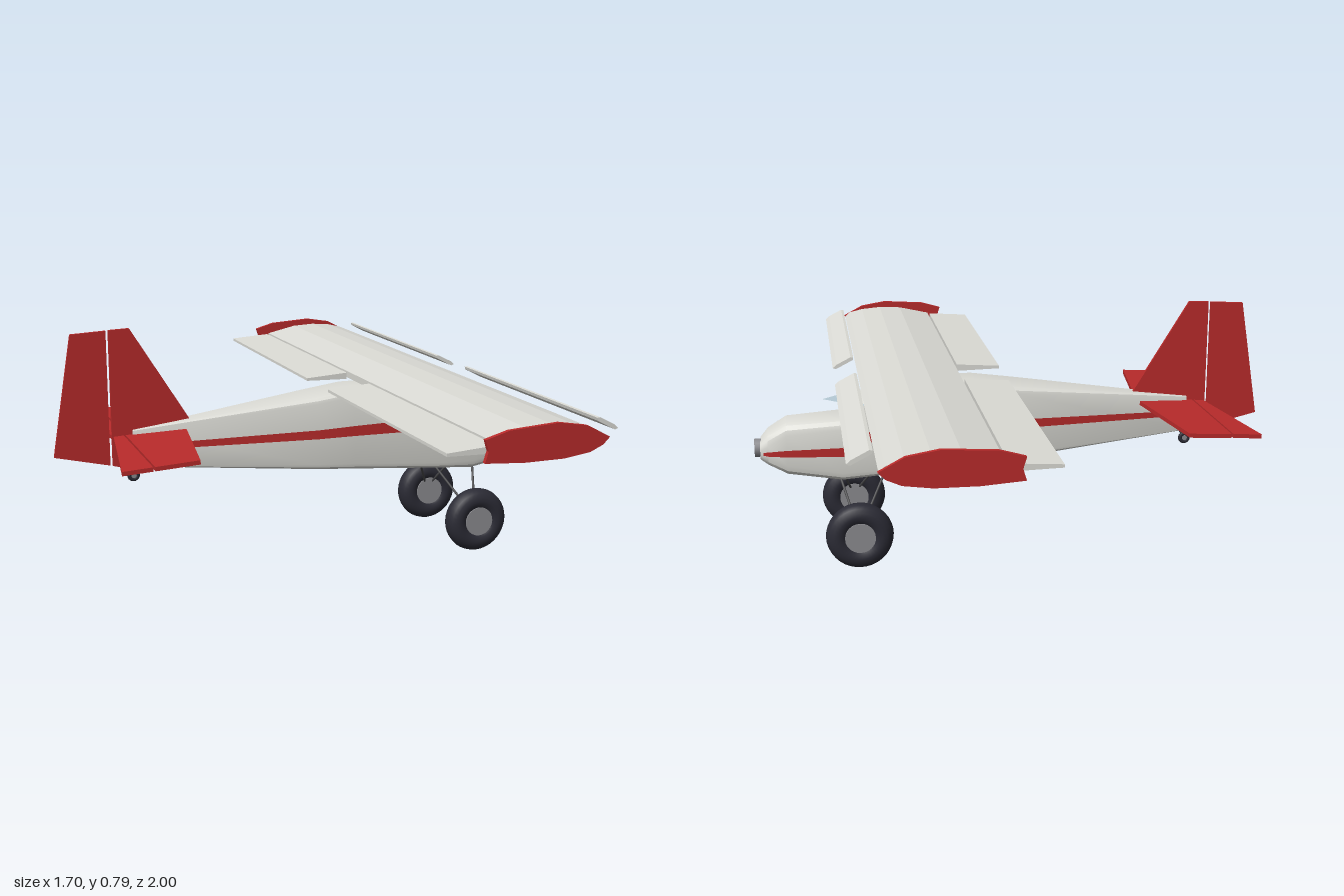
import * as THREE from 'three';
import { toCreasedNormals } from 'three/addons/utils/BufferGeometryUtils.js';

const mat = (name, color, side = THREE.FrontSide) => {
  const m = new THREE.MeshStandardMaterial({ color, side });
  m.name = name;
  return m;
};

// fuselage stations: x, bottom, top, half width, corner radius
const STATIONS = [
  [-0.6, 0.355, 0.475, 0.012, 0.004], [0, 0.306, 0.55, 0.088, 0.02],
  [0.13, 0.296, 0.568, 0.09, 0.022], [0.45, 0.27, 0.57, 0.09, 0.022],
  [0.57, 0.258, 0.464, 0.087, 0.03], [0.745, 0.284, 0.455, 0.079, 0.035],
  [0.805, 0.315, 0.42, 0.07, 0.035], [0.83, 0.335, 0.388, 0.058, 0.02],
];

function halfWidth(x) {
  for (let i = 1; i < STATIONS.length; i++) {
    const a = STATIONS[i - 1], b = STATIONS[i];
    if (x <= b[0]) return a[3] + (b[3] - a[3]) * (x - a[0]) / (b[0] - a[0]);
  }
  return STATIONS.at(-1)[3];
}

// loft of rounded rectangles with closed ends
function fuselageGeometry() {
  const pos = [], idx = [], steps = 4, n = 4 * steps;
  for (const [x, b, t, w, r] of STATIONS) {
    for (let c = 0; c < 4; c++) {
      const cz = (c === 0 || c === 3 ? 1 : -1) * (w - r);
      const cy = c < 2 ? t - r : b + r;
      for (let s = 0; s < steps; s++) {
        const a = (c + s / (steps - 1)) * Math.PI / 2;
        pos.push(x, cy + r * Math.sin(a), cz + r * Math.cos(a));
      }
    }
  }
  const last = (STATIONS.length - 1) * n;
  for (let i = 0; i < last; i += n) {
    for (let j = 0; j < n; j++) {
      const k = (j + 1) % n;
      idx.push(i + j, i + n + j, i + k, i + n + j, i + n + k, i + k);
    }
  }
  for (let j = 1; j < n - 1; j++) {
    idx.push(0, j, j + 1, last, last + j + 1, last + j);
  }
  const g = new THREE.BufferGeometry();
  g.setAttribute('position', new THREE.Float32BufferAttribute(pos, 3));
  g.setIndex(idx);
  return toCreasedNormals(g, 0.5);
}

// thin skin on the fuselage side, from rows of x, lower y, upper y
function sidePatch(rows, side) {
  const pos = [], idx = [];
  rows.forEach(([x, lo, hi], i) => {
    const z = side * (halfWidth(x) + 0.002);
    pos.push(x, lo, z, x, hi, z);
    if (i) {
      const a = 2 * i - 2;
      if (side > 0) idx.push(a, a + 2, a + 1, a + 2, a + 3, a + 1);
      else idx.push(a, a + 1, a + 2, a + 2, a + 1, a + 3);
    }
  });
  const g = new THREE.BufferGeometry();
  g.setAttribute('position', new THREE.Float32BufferAttribute(pos, 3));
  g.setIndex(idx);
  g.computeVertexNormals();
  return g;
}

// flat outline extruded symmetrically about its plane
function plate(points, depth) {
  const shape = new THREE.Shape(points.map(([x, y]) => new THREE.Vector2(x, y)));
  return new THREE.ExtrudeGeometry(shape, { depth, bevelEnabled: false }).translate(0, 0, -depth / 2);
}

function rod(a, b, r) {
  const p = new THREE.Vector3(...a), d = new THREE.Vector3(...b).sub(p);
  const g = new THREE.CylinderGeometry(r, r, d.length(), 8);
  g.applyQuaternion(new THREE.Quaternion().setFromUnitVectors(new THREE.Vector3(0, 1, 0), d.clone().normalize()));
  return g.translate(p.x + d.x / 2, p.y + d.y / 2, p.z + d.z / 2);
}

export function createModel() {
  const model = new THREE.Group();
  model.name = 'airplane';
  const white = mat('white paint', 0xdcdcd6);
  const red = mat('red paint', 0xb92b2b);
  const stripeRed = red;
  const dark = mat('dark window', 0x2a2e3b);
  const rubber = mat('tire rubber', 0x2b2b35);
  const metal = mat('grey metal', 0x8c8c90);
  const strut = mat('strut steel', 0x48484a);
  const glass = mat('windshield glass', 0xb6cbd6, THREE.DoubleSide);
  const add = (name, geometry, material, parent = model) => {
    const m = new THREE.Mesh(geometry, material);
    m.name = name;
    parent.add(m);
    return m;
  };

  // body and nose
  add('fuselage', fuselageGeometry(), white);
  add('propellerHub', new THREE.CylinderGeometry(0.03, 0.03, 0.022, 16).rotateZ(-Math.PI / 2).translate(0.838, 0.363, 0), metal);
  const shield = new THREE.Shape([[0.46, 0.105], [0.51, 0.105], [0.625, 0], [0.51, -0.105], [0.46, -0.105]]
    .map(([x, y]) => new THREE.Vector2(x, y)));
  add('windshield', new THREE.ShapeGeometry(shield).rotateX(Math.PI / 2).translate(0, 0.517, 0), glass);

  // side stripes and cabin windows
  const stripe = [[-0.6, 0.408, 0.425], [0, 0.413, 0.443], [0.13, 0.414, 0.448], [0.3, 0.413, 0.452], [0.42, 0.409, 0.447],
    [0.45, 0.404, 0.442], [0.565, 0.345, 0.377], [0.57, 0.345, 0.375], [0.745, 0.35, 0.372], [0.805, 0.353, 0.367], [0.82, 0.355, 0.364]];
  for (const s of [1, -1]) {
    const label = s > 0 ? 'Left' : 'Right';
    add('stripe' + label, sidePatch(stripe, s), stripeRed);
    add('window' + label, sidePatch([[0.21, 0.472, 0.548], [0.45, 0.472, 0.548]], s), dark);
  }

  // main wing with flaps, slats and tip plates
  const wing = new THREE.Group();
  wing.name = 'wing';
  model.add(wing);
  const section = [[0.18, 0.57], [0.3, 0.565], [0.44, 0.566], [0.49, 0.572], [0.507, 0.587],
    [0.49, 0.603], [0.44, 0.615], [0.37, 0.621], [0.29, 0.617], [0.18, 0.592]];
  add('wingPanel', plate(section, 1.975), white, wing);
  const flap = [[0.028, 0.571], [0.172, 0.568], [0.172, 0.59], [0.028, 0.58]];
  const slat = [[0.518, 0.617], [0.575, 0.588], [0.585, 0.592], [0.572, 0.603], [0.525, 0.627], [0.516, 0.626]];
  const tip = [[0.13, 0.612], [0.2, 0.632], [0.35, 0.642], [0.44, 0.627], [0.51, 0.59], [0.49, 0.57],
    [0.45, 0.552], [0.37, 0.541], [0.25, 0.54], [0.13, 0.548], [0.14, 0.58]];
  for (const s of [1, -1]) {
    add('flap', plate(flap, 0.88).translate(0, 0, s * 0.54), white, wing);
    add('slat', plate(slat, 0.815).translate(0, 0, s * 0.517), white, wing);
    add('wingTip', plate(tip, 0.013).translate(0, 0, s * 0.9935), red, wing);
  }

  // tail surfaces, with open hinge gaps
  add('fin', plate([[-0.666, 0.797], [-0.6, 0.8], [-0.41, 0.493], [-0.5, 0.44], [-0.6, 0.358], [-0.62, 0.35], [-0.666, 0.362]], 0.01), red);
  add('rudder', plate([[-0.674, 0.796], [-0.785, 0.79], [-0.85, 0.405], [-0.674, 0.364]], 0.01), red);
  const tail = new THREE.Group();
  tail.name = 'horizontalTail';
  tail.position.set(-0.57, 0.456, 0);
  tail.rotation.z = 0.06;
  model.add(tail);
  const flat = (pts) => plate(pts, 0.013).rotateX(Math.PI / 2).translate(0.57, 0, 0);
  add('stabilizer', flat([[-0.425, 0], [-0.487, 0.415], [-0.622, 0.415], [-0.622, -0.415], [-0.487, -0.415]]), red, tail);
  add('elevator', flat([[-0.628, 0.415], [-0.72, 0.415], [-0.66, 0], [-0.72, -0.415], [-0.628, -0.415]]), red, tail);

  // main landing gear
  for (const s of [1, -1]) {
    const gear = new THREE.Group();
    gear.name = s > 0 ? 'gearLeft' : 'gearRight';
    model.add(gear);
    add('tire', new THREE.TorusGeometry(0.071, 0.037, 16, 36).translate(0.527, 0.115, s * 0.197), rubber, gear);
    add('hub', new THREE.CylinderGeometry(0.049, 0.049, 0.066, 24).rotateX(Math.PI / 2).translate(0.527, 0.115, s * 0.197), metal, gear);
    add('frontLeg', rod([0.58, 0.275, s * 0.06], [0.53, 0.125, s * 0.19], 0.004), strut, gear);
    add('rearLeg', rod([0.43, 0.285, s * 0.06], [0.525, 0.125, s * 0.19], 0.004), strut, gear);
  }

  // tail wheel
  add('tailStrut', rod([-0.575, 0.365, 0], [-0.6, 0.325, 0], 0.004), strut);
  add('tailTire', new THREE.TorusGeometry(0.014, 0.007, 10, 20).translate(-0.6, 0.325, 0), rubber);
  add('tailHub', new THREE.CylinderGeometry(0.009, 0.009, 0.012, 12).rotateX(Math.PI / 2).translate(-0.6, 0.325, 0), metal);

  return model;
}
